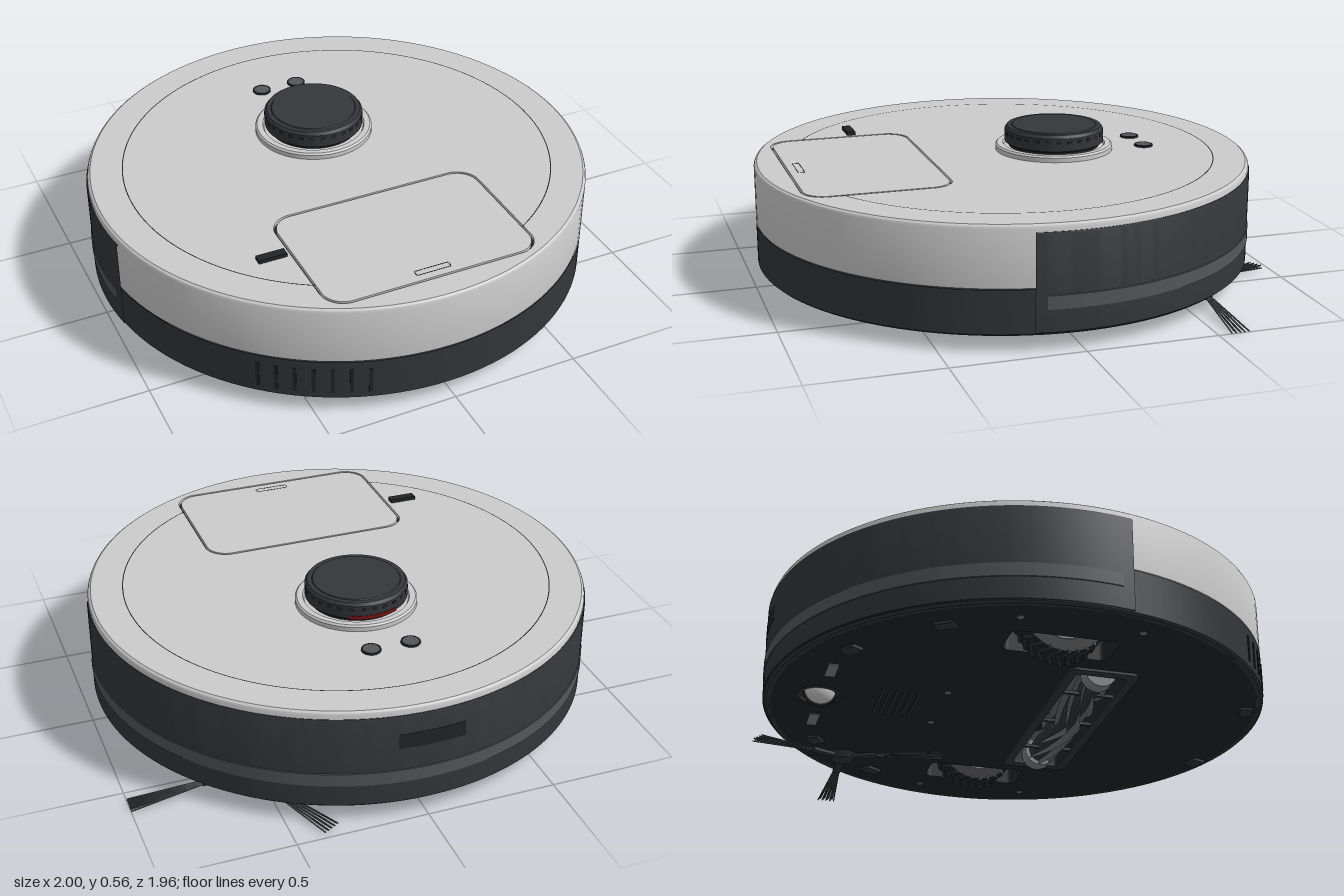
import * as THREE from 'three';
import { toCreasedNormals } from 'three/addons/utils/BufferGeometryUtils.js';
import { ParametricGeometry } from 'three/addons/geometries/ParametricGeometry.js';

const mat = (color, side = THREE.FrontSide) => new THREE.MeshStandardMaterial({ color, side });
const LIGHT = mat(0xcccccc), DARK = mat(0x34363a), BLACK = mat(0x222427), STRIP = mat(0x55575b);
const GREY = mat(0x85878a), RED = mat(0x7a1418), FIN = mat(0x6a6c70, THREE.DoubleSide);
const DARK2 = mat(0x34363a, THREE.DoubleSide);
const R = 0.977, TOP = 0.465, FLOOR = 0.06;

function add(parent, name, geo, material, x = 0, y = 0, z = 0) {
  const m = new THREE.Mesh(geo, material);
  m.name = name;
  m.position.set(x, y, z);
  parent.add(m);
  return m;
}

// Revolved profile, listed bottom to top, with crisp edges
function lathe(points, start = 0, length = Math.PI * 2, segments = 128) {
  const pts = points.map(([r, y]) => new THREE.Vector2(r, y));
  return toCreasedNormals(new THREE.LatheGeometry(pts, segments, start, length), 0.5);
}

function roundRect(w, d, r, cx = 0, cz = 0) {
  const s = new THREE.Shape(), x = w / 2 - r, z = d / 2 - r;
  s.absarc(cx + x, cz + z, r, 0, Math.PI / 2);
  s.absarc(cx - x, cz + z, r, Math.PI / 2, Math.PI);
  s.absarc(cx - x, cz - z, r, Math.PI, Math.PI * 1.5);
  s.absarc(cx + x, cz - z, r, Math.PI * 1.5, Math.PI * 2);
  s.closePath();
  return s;
}

function disc(r, cx = 0, cz = 0) {
  return new THREE.Shape().absarc(cx, cz, r, 0, Math.PI * 2);
}

// Flat plate in the xz plane; shape y becomes z
function slab(shape, bottom, top, holes = []) {
  shape.holes.push(...holes);
  const g = new THREE.ExtrudeGeometry(shape, { depth: top - bottom, bevelEnabled: false, curveSegments: 48 });
  return g.rotateX(Math.PI / 2).translate(0, top, 0);
}

// Thin rod between two points
function rod(parent, name, a, b, r, material) {
  const d = b.clone().sub(a);
  const m = add(parent, name, new THREE.CylinderGeometry(r, r, d.length(), 5), material);
  m.position.copy(a).addScaledVector(d, 0.5);
  m.quaternion.setFromUnitVectors(new THREE.Vector3(0, 1, 0), d.normalize());
}

function buildShell(g) {
  add(g, 'lowerShell', lathe([[0.95, FLOOR], [0.968, FLOOR], [R, 0.068], [R, 0.232]]), DARK);
  add(g, 'upperShell', lathe([[R - 0.005, 0.232], [R, 0.236], [R, 0.45], [0.973, 0.459], [0.965, TOP], [0.95, TOP]]), LIGHT);
  // Top deck with an opening for the dust lid
  add(g, 'topDeck', slab(disc(0.952), TOP - 0.02, TOP, [roundRect(0.85, 0.57, 0.09, 0, 0.583)]), LIGHT);
  add(g, 'lidGap', slab(roundRect(0.87, 0.59, 0.09, 0, 0.583), TOP - 0.03, TOP - 0.015), BLACK);
  add(g, 'dustLid', slab(roundRect(0.832, 0.552, 0.083, 0, 0.583), TOP - 0.02, TOP), LIGHT);
  add(g, 'lidFingerSlot', slab(roundRect(0.14, 0.028, 0.006, 0, 0.815), TOP, TOP + 0.0006,
    [roundRect(0.134, 0.022, 0.004, 0, 0.815)]), BLACK);
  const seam = new THREE.RingGeometry(0.838, 0.842, 128, 1, -Math.PI / 3, Math.PI * 5 / 3);
  add(g, 'deckSeam', seam.rotateX(-Math.PI / 2), BLACK, 0, TOP + 0.0006);
  add(g, 'latch', new THREE.BoxGeometry(0.11, 0.02, 0.034), BLACK, -0.495, TOP + 0.005, 0.515);
  // Side air vents
  for (let i = 0; i < 7; i++) {
    const a = THREE.MathUtils.degToRad(-41.6 + 4 * i);
    add(g, 'airVent', new THREE.BoxGeometry(0.013, 0.105, 0.01), BLACK, Math.sin(a) * 0.975, 0.145, Math.cos(a) * 0.975).rotation.y = a;
  }
}

function buildBumper(g) {
  const arc = (pts, c) => {
    const a = Math.acos(c);
    return lathe(pts, a, 2 * (Math.PI - a));
  };
  add(g, 'bumper', arc([[0.955, 0.072], [0.982, 0.072], [0.982, 0.43], [0.979, 0.437], [0.955, 0.437]], 0.178), DARK2);
  add(g, 'bumperStrip', arc([[0.98, 0.155], [0.985, 0.157], [0.985, 0.208], [0.98, 0.21]], 0.135), STRIP);
  add(g, 'sensorWindow', lathe([[0.98, 0.3], [0.9835, 0.3], [0.9835, 0.36], [0.98, 0.36]], Math.PI - 0.13, 0.26, 16), BLACK);
}

function buildTurret(g) {
  const t = new THREE.Group();
  t.name = 'sensorTurret';
  t.position.set(0, TOP, -0.222);
  g.add(t);
  add(t, 'turretBase', lathe([[0.235, 0], [0.235, 0.018], [0.228, 0.025], [0.205, 0.025], [0.2, 0.015], [0, 0.015]]), LIGHT);
  add(t, 'turretNeck', new THREE.CylinderGeometry(0.18, 0.18, 0.04, 64), BLACK, 0, 0.03);
  add(t, 'turretCap', lathe([[0, 0.028], [0.19, 0.028], [0.197, 0.034], [0.197, 0.085], [0.188, 0.097], [0.17, 0.097],
    [0.167, 0.1], [0, 0.1]]), DARK);
  add(t, 'turretWindow', lathe([[0.195, 0.03], [0.199, 0.03], [0.199, 0.045], [0.195, 0.045]], Math.PI - 0.5, 1, 24), RED);
  for (let i = 0; i < 28; i++) {
    const a = i / 28 * Math.PI * 2;
    add(t, 'turretSlot', new THREE.BoxGeometry(0.02, 0.012, 0.006), BLACK, Math.sin(a) * 0.195, 0.07, Math.cos(a) * 0.195).rotation.y = a;
  }
  // Control buttons
  for (const s of [-1, 1]) {
    add(g, 'buttonRing', lathe([[0.037, 0], [0.037, 0.007], [0.031, 0.009], [0.03, 0.004]], 0, Math.PI * 2, 32), BLACK, s * 0.078, TOP, -0.58);
    add(g, 'button', new THREE.CylinderGeometry(0.031, 0.031, 0.008, 32), STRIP, s * 0.078, TOP + 0.004, -0.58);
  }
}

function buildUnderside(g) {
  const wells = [roundRect(0.93, 0.21, 0.02, 0, 0.22), disc(0.085, 0, -0.77)];
  for (const s of [-1, 1]) wells.push(roundRect(0.16, 0.4, 0.03, s * 0.655, 0));
  add(g, 'basePlate', slab(disc(0.96), FLOOR, 0.19, wells), BLACK);
  add(g, 'wellCeiling', slab(disc(0.95), 0.19, 0.2), BLACK);
  add(g, 'brushFrame', slab(roundRect(1.0, 0.27, 0.03, 0, 0.22), FLOOR - 0.01, FLOOR, [roundRect(0.92, 0.2, 0.02, 0, 0.22)]), DARK);
  for (const x of [-0.28, 0, 0.28]) add(g, 'brushGuard', new THREE.BoxGeometry(0.014, 0.012, 0.22), DARK, x, FLOOR - 0.004, 0.22);
  // Battery cover vents, charging contacts, floor sensors and screws
  for (let i = 0; i < 6; i++) add(g, 'baseVent', new THREE.BoxGeometry(0.24, 0.006, 0.012), DARK, 0, FLOOR, -0.54 + i * 0.028);
  for (const s of [-1, 1]) {
    add(g, 'chargeContact', new THREE.BoxGeometry(0.11, 0.008, 0.04), GREY, s * 0.24, FLOOR, -0.76);
    for (const [x, z] of [[0.28, 0.87], [0.44, -0.72], [0.72, -0.44]])
      add(g, 'floorSensor', new THREE.BoxGeometry(0.07, 0.014, 0.05), DARK, s * x, FLOOR - 0.004, z).rotation.y = Math.atan2(s * x, z);
    for (const [x, z] of [[0.83, 0.25], [0.15, -0.3], [0.84, -0.2]])
      add(g, 'screw', new THREE.CylinderGeometry(0.013, 0.013, 0.006, 12), GREY, s * x, FLOOR, z);
  }
}

function buildWheels(g) {
  for (const s of [-1, 1]) {
    const w = new THREE.Group();
    w.name = 'driveWheel';
    w.position.set(s * 0.655, 0.17, 0);
    g.add(w);
    add(w, 'tyre', new THREE.CylinderGeometry(0.158, 0.158, 0.12, 48).rotateZ(Math.PI / 2), BLACK);
    add(w, 'hub', new THREE.CylinderGeometry(0.11, 0.11, 0.126, 32).rotateZ(Math.PI / 2), GREY);
    // Chevron tread
    for (let i = 0; i < 28; i++) for (const k of [-1, 1]) {
      const spoke = new THREE.Group();
      spoke.name = 'treadRib';
      spoke.rotation.x = i / 28 * Math.PI * 2;
      w.add(spoke);
      add(spoke, 'rib', new THREE.BoxGeometry(0.066, 0.014, 0.014), DARK, k * 0.029, 0.157).rotation.y = k * 0.45;
    }
  }
  // Swivel caster
  add(g, 'casterFork', new THREE.CylinderGeometry(0.078, 0.078, 0.06, 32), DARK, 0, 0.1, -0.77);
  add(g, 'casterWheel', new THREE.SphereGeometry(0.062, 24, 16).scale(0.75, 1, 1), LIGHT, 0, 0.078, -0.77);
  add(g, 'casterBand', new THREE.CylinderGeometry(0.064, 0.064, 0.024, 32).rotateZ(Math.PI / 2), BLACK, 0, 0.078, -0.77);
}

function buildMainBrush(g) {
  const b = new THREE.Group();
  b.name = 'mainBrush';
  b.position.set(0, 0.082, 0.22);
  g.add(b);
  add(b, 'roller', new THREE.CylinderGeometry(0.045, 0.045, 0.88, 32).rotateZ(Math.PI / 2), DARK);
  for (const s of [-1, 1]) add(b, 'rollerCap', new THREE.CylinderGeometry(0.062, 0.062, 0.06, 32).rotateZ(Math.PI / 2), GREY, s * 0.415);
  // V-shaped bristle fins
  for (let i = 0; i < 8; i++) {
    const fin = new ParametricGeometry((u, v, p) => {
      const x = (u - 0.5) * 0.76, a = i * Math.PI / 4 + Math.abs(x) * 4.5;
      const r = 0.04 + v * (0.036 - 0.08 * x * x);
      p.set(x, Math.cos(a) * r, Math.sin(a) * r);
    }, 40, 2);
    add(b, 'bristleFin', fin, FIN);
  }
}

function buildSideBrush(g) {
  const b = new THREE.Group();
  b.name = 'sideBrush';
  b.position.set(0.585, 0, -0.585);
  g.add(b);
  add(b, 'brushHub', new THREE.CylinderGeometry(0.06, 0.045, 0.03, 24), DARK, 0, 0.048);
  for (let k = 0; k < 3; k++) {
    const arm = new THREE.Group();
    arm.name = 'brushArm';
    arm.rotation.y = k * Math.PI * 2 / 3;
    b.add(arm);
    add(arm, 'armPaddle', new THREE.BoxGeometry(0.13, 0.014, 0.03), DARK, 0.09, 0.044).rotation.z = -0.06;
    // Bristles spread toward the tip
    for (let i = 0; i < 13; i++) {
      const t = i / 6 - 1;
      rod(arm, 'bristle', new THREE.Vector3(0.13, 0.043, t * 0.01),
        new THREE.Vector3(0.43, 0.006 + (i % 3) * 0.005, t * 0.034), 0.0028, STRIP);
    }
  }
}

export function createModel() {
  const model = new THREE.Group();
  model.name = 'robotVacuum';
  const body = new THREE.Group();
  body.name = 'body';
  body.position.x = -0.015;
  model.add(body);
  for (const build of [buildShell, buildBumper, buildTurret, buildUnderside, buildWheels, buildMainBrush, buildSideBrush]) build(body);
  return model;
}
